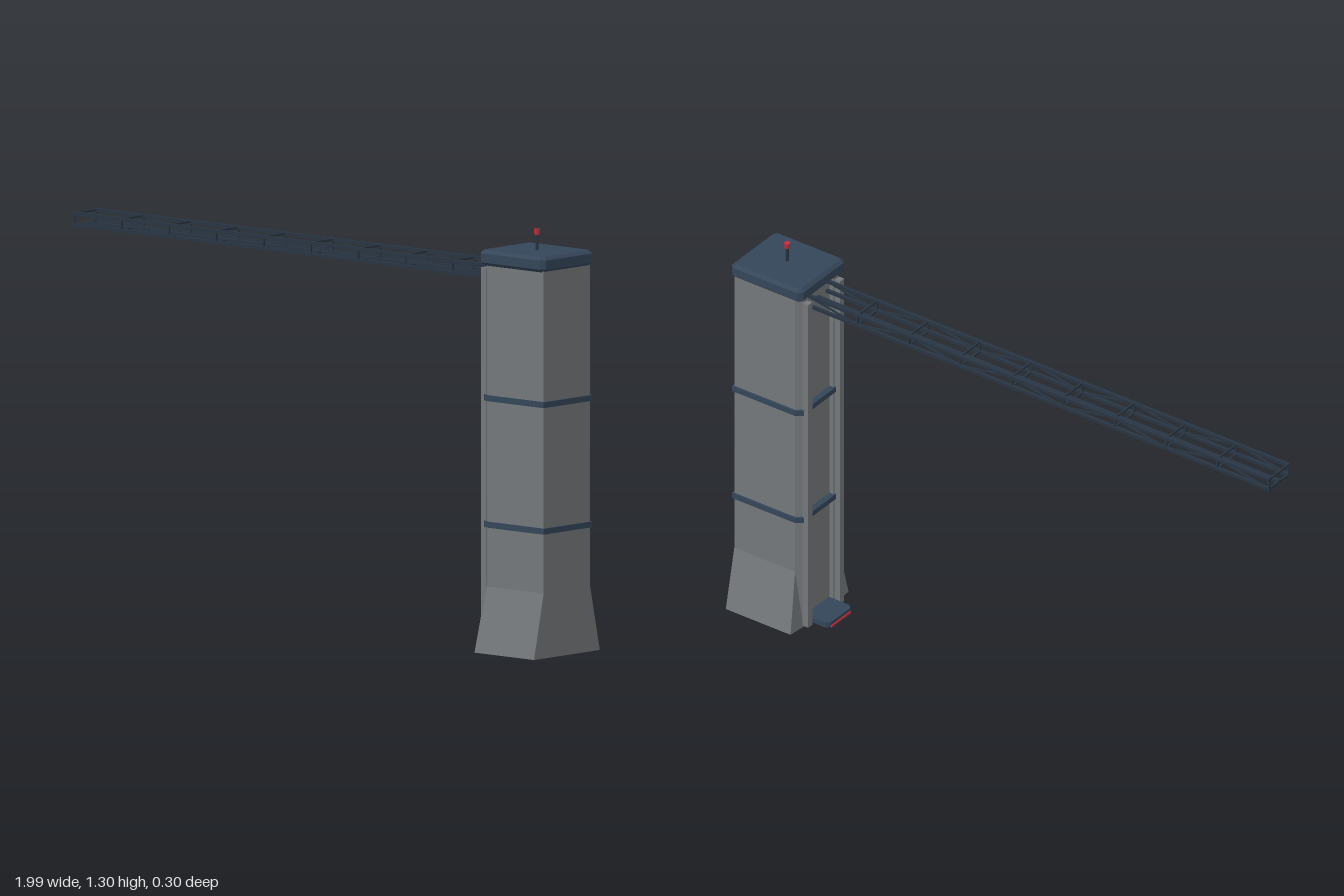
import * as THREE from 'three';

const mat = (name, color) => {
  const m = new THREE.MeshStandardMaterial({ color });
  m.name = name;
  return m;
};

export function createModel() {
  const concrete = mat('concrete grey', 0x74777b);
  const navy = mat('navy steel', 0x35465a);
  const steel = mat('dark boom steel', 0x283543);
  const red = mat('signal red', 0xc4303f);

  const model = new THREE.Group();
  model.name = 'boomTower';

  const add = (name, geometry, material, x = 0, y = 0, z = 0, parent = model) => {
    const mesh = new THREE.Mesh(geometry, material);
    mesh.name = name;
    mesh.position.set(x, y, z);
    parent.add(mesh);
    return mesh;
  };
  const box = (name, material, x0, x1, y0, y1, z0, z1, parent = model) =>
    add(name, new THREE.BoxGeometry(x1 - x0, y1 - y0, z1 - z0), material,
      (x0 + x1) / 2, (y0 + y1) / 2, (z0 + z1) / 2, parent);

  // Outline in plan from half of its points, mirrored across z = 0
  const mirroredShape = (half) => new THREE.Shape([
    ...half.map(([x, z]) => new THREE.Vector2(x, z)),
    ...half.slice().reverse().map(([x, z]) => new THREE.Vector2(x, -z)),
  ]);
  const prism = (shape, height, options = {}) => {
    const g = new THREE.ExtrudeGeometry(shape, { depth: height, bevelEnabled: false, ...options });
    return g.rotateX(-Math.PI / 2);
  };

  // Tower shaft: chamfered corners, shallow channel, base flared to both sides
  const shaft = prism(mirroredShape([
    [0.985, 0.106], [0.755, 0.106], [0.735, 0.09], [0.735, 0.066], [0.75, 0.066],
  ]), 2, { steps: 2 });
  const levels = [0, 0.2, 1.195];
  const p = shaft.attributes.position;
  for (let i = 0; i < p.count; i++) {
    const layer = Math.round(p.getY(i));
    p.setY(i, levels[layer]);
    if (layer === 0 && Math.abs(p.getZ(i)) > 0.1) {
      p.setZ(i, Math.sign(p.getZ(i)) * 0.15);
      if (p.getX(i) < 0.8) p.setX(i, 0.74);
    }
  }
  shaft.computeVertexNormals();
  add('towerShaft', shaft, concrete);

  // Vertical guide rails beside the channel
  for (const s of [-1, 1]) {
    const z = s * 0.082;
    box('guideRail', concrete, 0.715, 0.737, 0.005, 1.18, z - 0.011, z + 0.011);
  }

  // Horizontal bands
  for (const y of [0.392, 0.782]) {
    add('towerBand', prism(mirroredShape([
      [0.99, 0.112], [0.752, 0.112], [0.73, 0.095],
    ]), 0.018), navy, 0, y - 0.009, 0);
  }

  // Bevelled cap
  add('towerCap', prism(mirroredShape([
    [0.983, 0.1], [0.976, 0.107], [0.743, 0.107], [0.736, 0.1],
  ]), 0.028, {
    bevelEnabled: true, bevelSize: 0.011, bevelThickness: 0.01, bevelSegments: 1,
  }), navy, 0, 1.2, 0);

  // Mast and warning lamp
  add('lampMast', new THREE.CylinderGeometry(0.005, 0.005, 0.05, 8), steel, 0.862, 1.262, 0);
  add('warningLamp', new THREE.CylinderGeometry(0.01, 0.008, 0.018, 8), red, 0.862, 1.294, 0);

  // Step platform at the foot of the channel, with a red edge
  add('footPlatform', prism(mirroredShape([
    [0.75, 0.062], [0.672, 0.062], [0.66, 0.05],
  ]), 0.018), navy, 0, 0.006, 0);
  box('platformEdge', red, 0.657, 0.66, 0.006, 0.013, -0.05, 0.05);

  // Lattice boom
  const boom = new THREE.Group();
  boom.name = 'latticeBoom';
  model.add(boom);
  const beam = (name, a, b, size) => {
    const from = new THREE.Vector3(...a), to = new THREE.Vector3(...b);
    const mesh = add(name, new THREE.BoxGeometry(size, size, from.distanceTo(to)), steel, 0, 0, 0, boom);
    mesh.position.copy(from).add(to).multiplyScalar(0.5);
    mesh.lookAt(to);
  };
  const low = 1.146, high = 1.181, half = 0.05, bays = 9, x0 = -0.996, step = 0.1945;
  for (const z of [-half, half]) {
    for (const y of [low, high]) beam('boomChord', [-1, y, z], [0.755, y, z], 0.01);
  }
  box('centreRail', steel, -1, 0.755, low - 0.005, low + 0.007, -0.007, 0.007, boom);

  // Posts and cross bars at each bay, zigzag braces between
  for (let i = 0; i <= bays; i++) {
    const x = x0 + i * step;
    for (const y of [low, high]) beam('crossBar', [x, y, -half], [x, y, half], 0.006);
    for (const z of [-half, half]) {
      beam('post', [x, low, z], [x, high, z], 0.006);
      if (i < bays) {
        const up = i % 2 === 0;
        beam('brace', [x, up ? low : high, z], [x + step, up ? high : low, z], 0.005);
      }
    }
  }

  return model;
}
